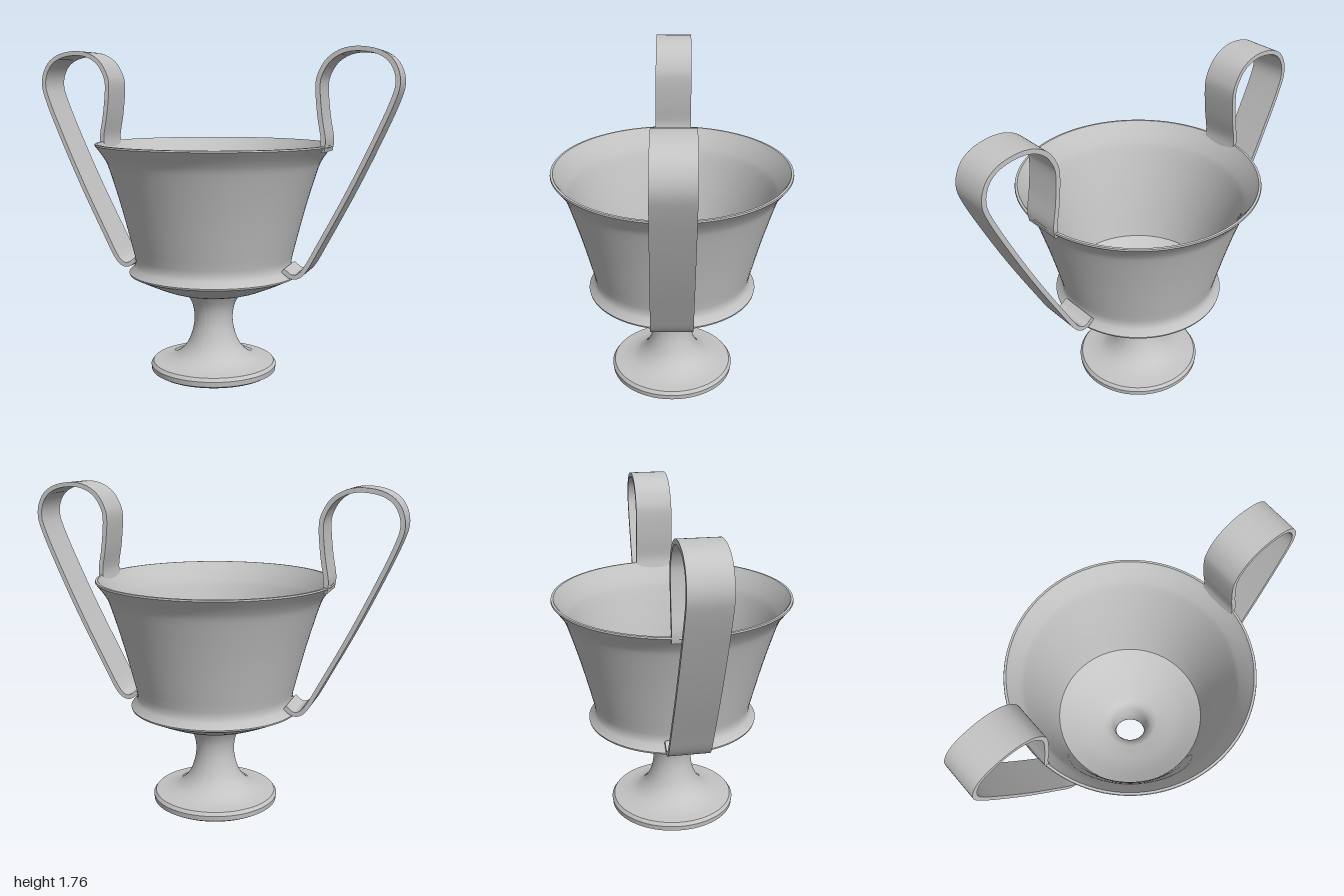
import * as THREE from 'three';
import { toCreasedNormals } from 'three/addons/utils/BufferGeometryUtils.js';

const vec = ([x, y]) => new THREE.Vector2(x, y);
const smooth = (pts, n) => new THREE.SplineCurve(pts.map(vec)).getPoints(n);

// Closed wall profile turned around the axis: outside upwards, inside downwards
function cupGeometry() {
  const foot = [[0.325, 0], [0.345, 0.012], [0.348, 0.04], [0.335, 0.058], [0.3, 0.062]].map(vec);
  const stem = smooth([[0.27, 0.066], [0.205, 0.09], [0.15, 0.145], [0.118, 0.22], [0.106, 0.3],
    [0.117, 0.375], [0.15, 0.44]], 20);
  const bowlBase = smooth([[0.16, 0.445], [0.25, 0.462], [0.35, 0.502], [0.462, 0.555]], 10);
  const ledge = [[0.464, 0.564], [0.435, 0.595], [0.428, 0.62]].map(vec);
  const wall = smooth([[0.432, 0.65], [0.495, 0.9], [0.56, 1.12], [0.59, 1.19], [0.64, 1.258]], 16);
  const rim = [[0.638, 1.266], [0.626, 1.267]].map(vec);
  const inside = smooth([[0.62, 1.257], [0.572, 1.18], [0.542, 1.11], [0.475, 0.88], [0.408, 0.6]], 16);
  const floor = smooth([[0.408, 0.6], [0.3, 0.535], [0.2, 0.495], [0.145, 0.475]], 8);
  const bore = smooth([[0.14, 0.472], [0.108, 0.44], [0.09, 0.37], [0.085, 0.3], [0.095, 0.22],
    [0.13, 0.14], [0.19, 0.08], [0.29, 0.04]], 20);
  const under = [[0.302, 0.03], [0.308, 0.005], [0.325, 0]].map(vec);
  const profile = [...foot, ...stem, ...bowlBase, ...ledge, ...wall, ...rim,
    ...inside, ...floor.slice(1), ...bore, ...under];
  return toCreasedNormals(new THREE.LatheGeometry(profile, 96), 0.6);
}

// Flat strap following a high loop from the rim down to the ledge
function handleGeometry(side) {
  const path = new THREE.SplineCurve([[0.618, 1.235], [0.624, 1.3], [0.604, 1.42], [0.591, 1.56],
    [0.602, 1.63], [0.645, 1.7], [0.715, 1.742], [0.8, 1.752], [0.895, 1.732], [0.96, 1.68],
    [0.988, 1.59], [0.96, 1.48], [0.855, 1.24], [0.74, 1.0], [0.61, 0.75], [0.545, 0.63],
    [0.505, 0.588], [0.465, 0.585], [0.425, 0.615]].map(vec));
  const count = 90, half = 0.012;
  const outer = [], inner = [];
  for (let i = 0; i <= count; i++) {
    const p = path.getPoint(i / count), t = path.getTangent(i / count);
    outer.push(new THREE.Vector2(side * (p.x - t.y * half), p.y + t.x * half));
    inner.push(new THREE.Vector2(side * (p.x + t.y * half), p.y - t.x * half));
  }
  const shape = new THREE.Shape([...outer, ...inner.reverse()]);
  const geometry = new THREE.ExtrudeGeometry(shape, { depth: 1, bevelEnabled: false });
  // The strap widens a little towards its lower end
  const pos = geometry.attributes.position;
  for (let i = 0; i < pos.count; i++) {
    const front = THREE.MathUtils.mapLinear(pos.getY(i), 0.57, 1.76, 0.11, 0.092);
    pos.setZ(i, THREE.MathUtils.lerp(-0.11, front, pos.getZ(i)));
  }
  return toCreasedNormals(geometry, 0.6);
}

export function createModel() {
  const group = new THREE.Group();
  group.name = 'twoHandledCup';
  const clay = new THREE.MeshStandardMaterial({ color: 0xc4c4c4 });
  clay.name = 'light grey clay';

  const add = (name, geometry) => {
    const mesh = new THREE.Mesh(geometry, clay);
    mesh.name = name;
    group.add(mesh);
  };
  add('cup', cupGeometry());
  add('leftHandle', handleGeometry(1));
  add('rightHandle', handleGeometry(-1));
  return group;
}
